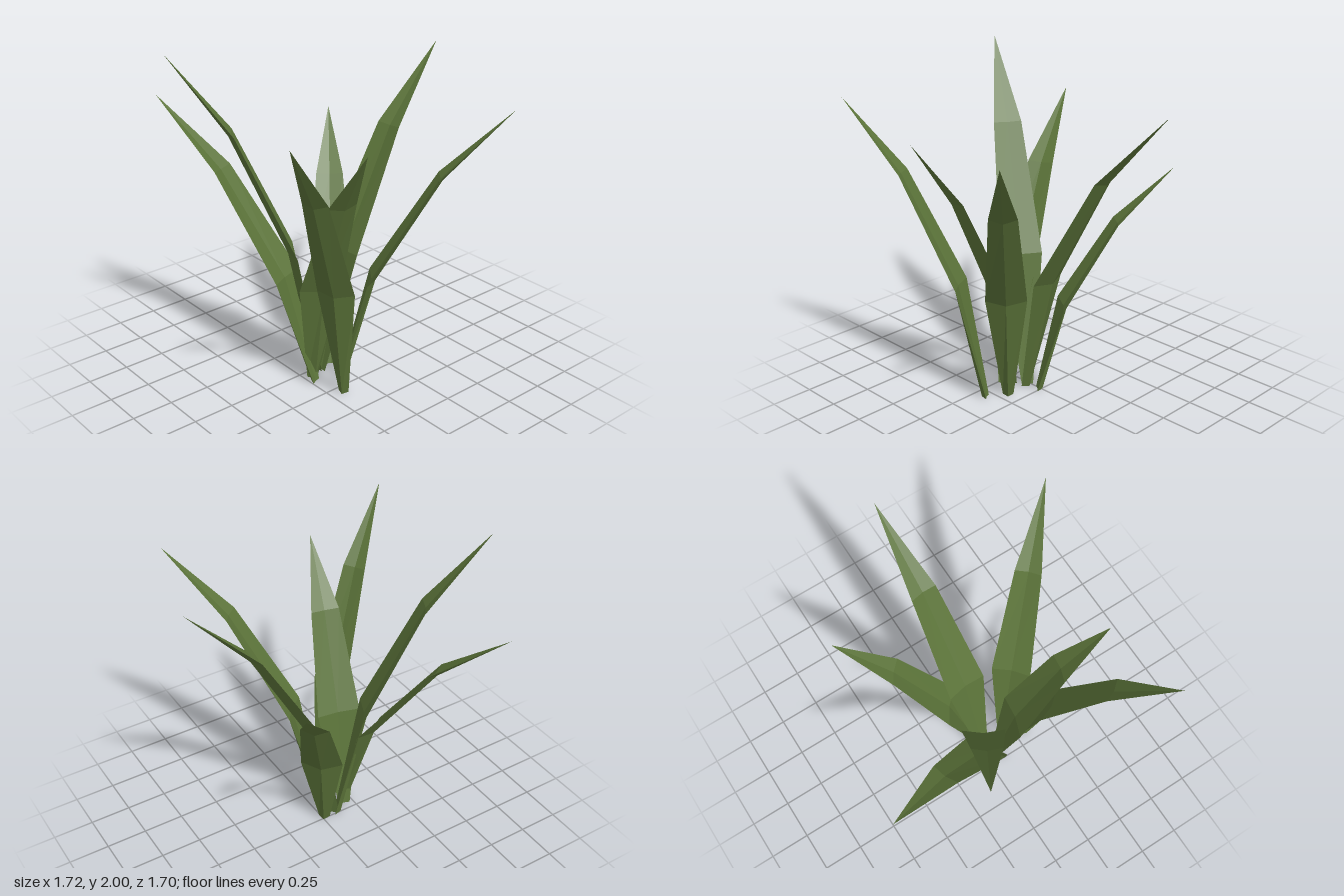
import * as THREE from 'three';

// base [x, z], tip [x, y, z], full width at the widest section
const LEAVES = [
  { base: [-0.11, 0.03], tip: [0.86, 1.86, -0.05], width: 0.25 },
  { base: [-0.1, 0.185], tip: [0.56, 1.72, 0.85], width: 0.24 },
  { base: [-0.16, 0.3], tip: [-0.86, 1.8, 0.72], width: 0.22 },
  { base: [-0.19, 0.05], tip: [-0.33, 1.62, 0.67], width: 0.27 },
  { base: [-0.1, 0.02], tip: [-0.81, 2.0, -0.41], width: 0.26 },
  { base: [-0.215, 0.115], tip: [-0.61, 1.63, -0.85], width: 0.25 },
  { base: [-0.02, 0.02], tip: [0.48, 1.39, -0.6], width: 0.25 },
];

// Sections up the blade: outward reach, height, width (fractions), keel and groove depth
const SECTIONS = [
  { reach: 0, height: 0, width: 0.27, keel: 0.035, groove: 0.005 },
  { reach: 0.18, height: 0.402, width: 1, keel: 0.042, groove: 0.018 },
  { reach: 0.58, height: 0.77, width: 0.65, keel: 0.03, groove: 0.014 },
  { reach: 1, height: 1, width: 0, keel: 0, groove: 0 },
];

// A bent blade with a grooved upper side and a keeled underside
function leafGeometry({ base, tip, width }) {
  const root = new THREE.Vector3(base[0], 0, base[1]);
  const end = new THREE.Vector3(...tip);
  const out = new THREE.Vector3(end.x - root.x, 0, end.z - root.z);
  const length = out.length();
  out.normalize();
  const side = new THREE.Vector3(-out.z, 0, out.x);
  const positions = [], index = [];

  SECTIONS.forEach((s, i) => {
    const centre = root.clone().addScaledVector(out, s.reach * length).setY(s.height * end.y);
    // Underside direction, square to the blade (level at the cut base)
    const prev = SECTIONS[Math.max(i - 1, 0)], next = SECTIONS[Math.min(i + 1, 3)];
    const run = (next.reach - prev.reach) * length;
    const rise = (next.height - prev.height) * end.y;
    const under = i === 0 ? out.clone()
      : out.clone().multiplyScalar(rise).setY(-run).normalize();
    const half = s.width * width / 2;
    const corners = [
      centre.clone().addScaledVector(side, -half),
      centre.clone().addScaledVector(under, s.keel),
      centre.clone().addScaledVector(side, half),
      centre.clone().addScaledVector(under, s.groove),
    ];
    corners.forEach((p) => positions.push(p.x, p.y, p.z));
    if (i === 0) return;
    for (let k = 0; k < 4; k++) {
      const a = (i - 1) * 4 + k, b = (i - 1) * 4 + (k + 1) % 4;
      index.push(a, a + 4, b);
      if (i < 3) index.push(b, a + 4, b + 4);
    }
  });
  index.push(1, 2, 3, 1, 3, 0); // base cap

  const geometry = new THREE.BufferGeometry();
  geometry.setAttribute('position', new THREE.Float32BufferAttribute(positions, 3));
  geometry.setIndex(index);
  const flat = geometry.toNonIndexed();
  flat.computeVertexNormals();
  return flat;
}

export function createModel() {
  const group = new THREE.Group();
  group.name = 'plant';
  const leafGreen = new THREE.MeshStandardMaterial({ color: 0x5b7339, flatShading: true });
  leafGreen.name = 'leaf green';
  LEAVES.forEach((leaf, i) => {
    const mesh = new THREE.Mesh(leafGeometry(leaf), leafGreen);
    mesh.name = `leaf${i + 1}`;
    group.add(mesh);
  });
  return group;
}
